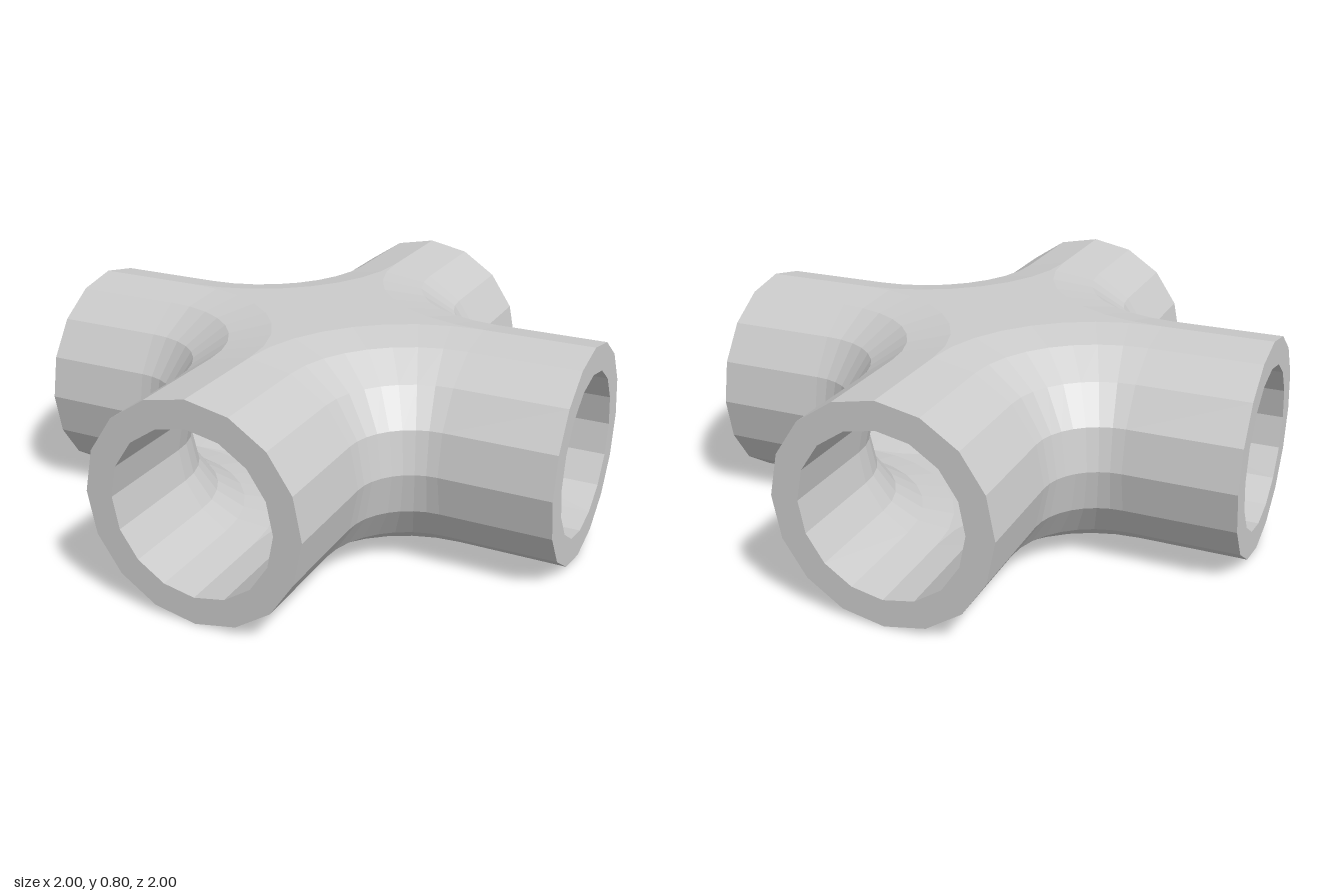
import * as THREE from 'three';

const SIDES = 16;      // sides of each round pipe
const STEPS = 8;       // segments in each corner bend
const BEND = 0.6;      // bend centre, measured from both pipe axes
const AXIS_Y = 0.4;
const OUTER = 0.4;
const INNER = 0.3;

// Half pipe swept along one arm, around the corner and out along the next arm
function elbowGeometry(radius, inward) {
  const half = SIDES / 2;
  const positions = [];
  const index = [];
  for (let i = 0; i <= STEPS + 2; i++) {
    const phi = ((i - 1) / STEPS) * Math.PI / 2;
    for (let j = 0; j <= half; j++) {
      const theta = (j / half) * Math.PI;
      const s = radius * Math.sin(theta);
      const y = AXIS_Y + radius * Math.cos(theta);
      const d = BEND - s;
      if (i === 0) positions.push(s, y, 1);
      else if (i === STEPS + 2) positions.push(1, y, s);
      else positions.push(BEND - d * Math.cos(phi), y, BEND - d * Math.sin(phi));
    }
  }
  const row = half + 1;
  for (let i = 0; i < STEPS + 2; i++) {
    for (let j = 0; j < half; j++) {
      const a = i * row + j, b = a + 1, c = a + row, d = c + 1;
      if (inward) index.push(a, c, b, b, c, d);
      else index.push(a, b, c, b, d, c);
    }
  }
  const geometry = new THREE.BufferGeometry();
  geometry.setAttribute('position', new THREE.Float32BufferAttribute(positions, 3));
  geometry.setIndex(index);
  geometry.computeVertexNormals();
  return geometry;
}

// Flat four-pointed star that closes the middle between the bends
function starGeometry() {
  const points = [];
  for (let q = 0; q < 4; q++) {
    for (let i = 0; i < STEPS; i++) {
      const phi = Math.PI / 2 - (i / STEPS) * Math.PI / 2;
      const p = new THREE.Vector2(BEND - BEND * Math.cos(phi), BEND - BEND * Math.sin(phi));
      points.push(p.rotateAround(new THREE.Vector2(), q * Math.PI / 2));
    }
  }
  return new THREE.ShapeGeometry(new THREE.Shape(points));
}

export function createModel() {
  const group = new THREE.Group();
  group.name = 'crossPipe';
  const material = new THREE.MeshStandardMaterial({ color: 0xcccccc, flatShading: true });

  const add = (name, geometry, parent = group) => {
    const mesh = new THREE.Mesh(geometry, material);
    mesh.name = name;
    parent.add(mesh);
    return mesh;
  };

  // Four identical quarters: outer wall, inner wall and the end rim of one arm
  const outerWall = elbowGeometry(OUTER, false);
  const innerWall = elbowGeometry(INNER, true);
  const rim = new THREE.RingGeometry(INNER, OUTER, SIDES, 1);
  for (let q = 0; q < 4; q++) {
    const quarter = new THREE.Group();
    quarter.name = `quarter${q + 1}`;
    quarter.rotation.y = q * Math.PI / 2;
    add('outerWall', outerWall, quarter);
    add('innerWall', innerWall, quarter);
    add('endRim', rim, quarter).position.set(0, AXIS_Y, 1);
    group.add(quarter);
  }

  // Centre plates, outside and inside, top and bottom
  const star = starGeometry();
  const plates = [
    ['topPlateOutside', AXIS_Y + OUTER, -1],
    ['topPlateInside', AXIS_Y + INNER, 1],
    ['bottomPlateInside', AXIS_Y - INNER, -1],
    ['bottomPlateOutside', AXIS_Y - OUTER, 1],
  ];
  for (const [name, y, turn] of plates) {
    const plate = add(name, star);
    plate.rotation.x = turn * Math.PI / 2;
    plate.position.y = y;
  }
  return group;
}
